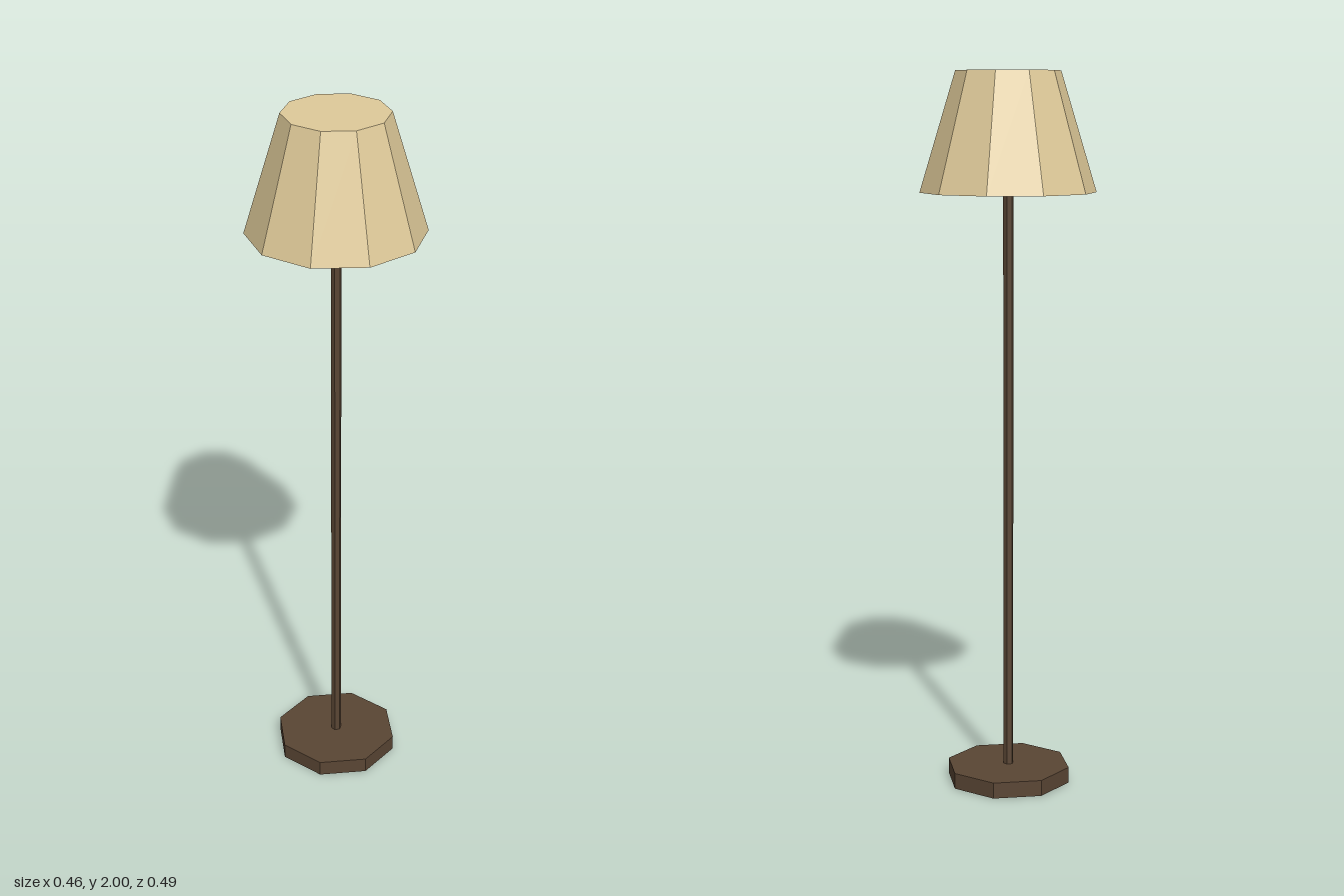
import * as THREE from 'three';

export function createModel() {
  const lamp = new THREE.Group();
  lamp.name = 'floorLamp';

  const darkWood = new THREE.MeshStandardMaterial({ color: 0x5a4634, flatShading: true });
  darkWood.name = 'dark wood';
  const creamFabric = new THREE.MeshStandardMaterial({ color: 0xe0cb9a, flatShading: true });
  creamFabric.name = 'cream fabric';

  // Faceted, capped cylinder spanning y0 to y1
  function addPrism(name, material, topRadius, bottomRadius, y0, y1, sides) {
    const geometry = new THREE.CylinderGeometry(topRadius, bottomRadius, y1 - y0, sides);
    const mesh = new THREE.Mesh(geometry, material);
    mesh.name = name;
    mesh.position.y = (y0 + y1) / 2;
    lamp.add(mesh);
  }

  addPrism('base', darkWood, 0.177, 0.177, 0, 0.045, 8);
  addPrism('pole', darkWood, 0.0145, 0.0145, 0.04, 1.69, 6);
  addPrism('shade', creamFabric, 0.144, 0.243, 1.672, 2, 10);

  return lamp;
}
